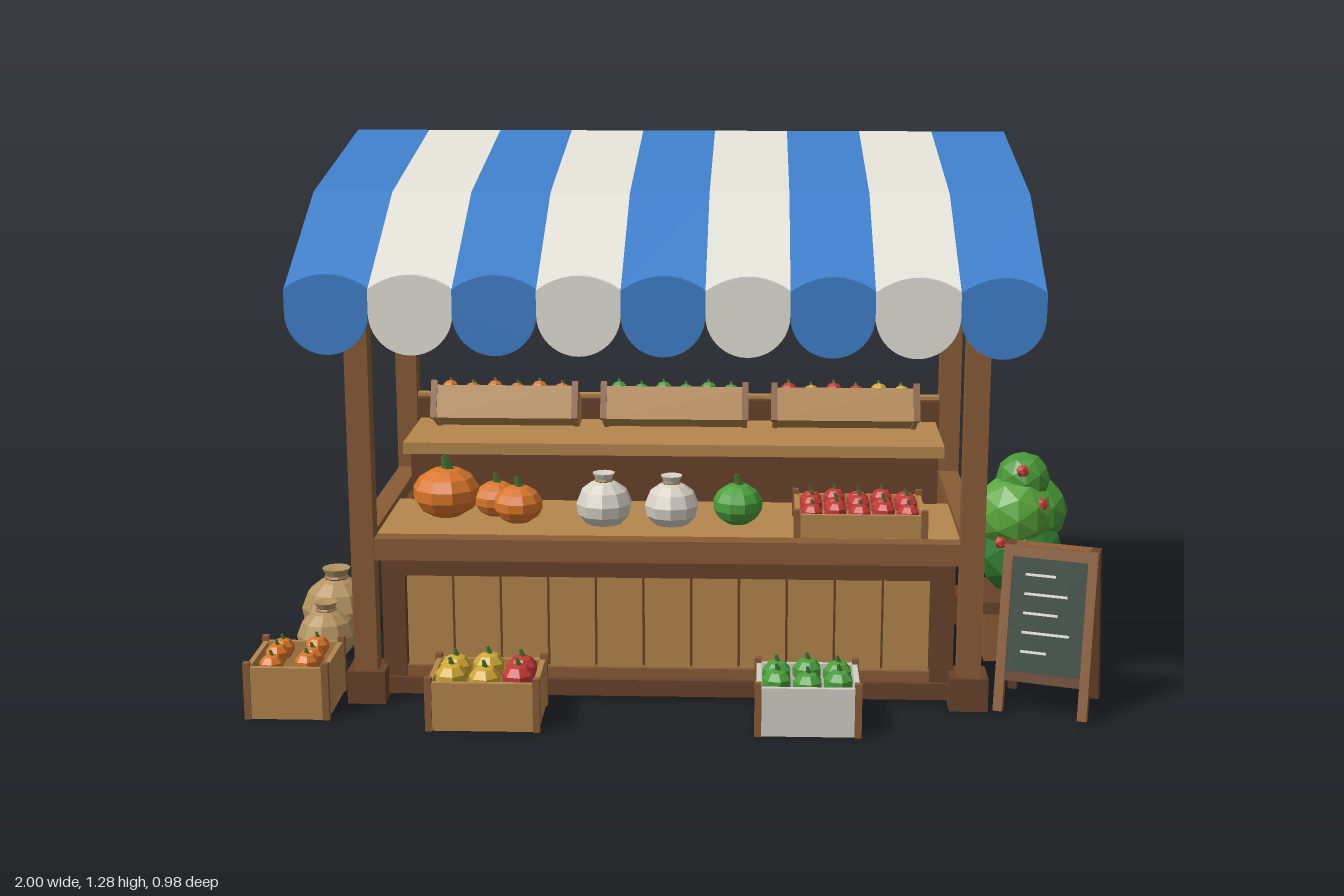
import * as THREE from 'three';

const CX = -0.024; // middle of the stall
const mats = {};
const mat = (c) => (mats[c] ??= new THREE.MeshStandardMaterial({ color: c, flatShading: true }));
const WOOD = 0x8a5c36, DARK = 0x68422a, TAN = 0xb5874d, BLUE = 0x4080cc, WHITE = 0xe4e2d9;
const RED = 0xc23a36, YELLOW = 0xd0a832, ORANGE = 0xd9762a, GREEN = 0x4b9f3c, STEM = 0x3f6b2c;

function add(parent, name, geo, color, x = 0, y = 0, z = 0) {
  const m = new THREE.Mesh(geo, mat(color));
  m.name = name;
  m.position.set(x, y, z);
  parent.add(m);
  return m;
}

// Box given by its min and max on each axis
function box(parent, name, color, x0, x1, y0, y1, z0, z1) {
  return add(parent, name, new THREE.BoxGeometry(x1 - x0, y1 - y0, z1 - z0), color,
    (x0 + x1) / 2, (y0 + y1) / 2, (z0 + z1) / 2);
}

// Square beam between two points
function beam(parent, name, color, a, b, t) {
  const A = new THREE.Vector3(...a), B = new THREE.Vector3(...b);
  const m = add(parent, name, new THREE.BoxGeometry(t, t, A.distanceTo(B)), color);
  m.position.copy(A).add(B).multiplyScalar(0.5);
  m.lookAt(B);
  return m;
}

function group(parent, name, x = 0, y = 0, z = 0) {
  const g = new THREE.Group();
  g.name = name;
  g.position.set(x, y, z);
  parent.add(g);
  return g;
}

// Round fruit with a short stalk
function fruit(parent, name, color, r, x, y, z, squash = 0.9) {
  const g = group(parent, name, x, y, z);
  add(g, 'flesh', new THREE.SphereGeometry(r, r > 0.05 ? 10 : 7, r > 0.05 ? 7 : 5), color).scale.y = squash;
  const s = add(g, 'stalk', new THREE.CylinderGeometry(r * 0.1, r * 0.2, r * 0.45, 5), STEM, 0, r * (squash + 0.12), 0);
  s.rotation.z = 0.25;
  return g;
}

// Open crate with corner posts, filled with rows of fruit
function crate(parent, name, w, h, d, color, colors, cols, rows, x, y, z) {
  const g = group(parent, name, x, y, z), t = 0.012;
  box(g, 'crateFloor', color, -w / 2, w / 2, 0.004, 0.004 + t, -d / 2, d / 2);
  for (const s of [-1, 1]) {
    add(g, 'crateSide', new THREE.BoxGeometry(t, h, d), color, s * (w / 2 - t / 2), h / 2, 0);
    add(g, 'crateFront', new THREE.BoxGeometry(w, h, t), color, 0, h / 2, s * (d / 2 - t / 2));
    for (const e of [-1, 1])
      add(g, 'cornerPost', new THREE.BoxGeometry(0.016, h + 0.012, 0.016), WOOD, s * (w / 2 - 0.004), h / 2 + 0.006, e * (d / 2 - 0.004));
  }
  const px = (w - 2 * t) / cols, pz = (d - 2 * t) / rows, r = Math.min(px, pz) * 0.5;
  for (let i = 0; i < cols; i++)
    for (let j = 0; j < rows; j++)
      fruit(g, 'fruit', colors[(i * 2 + j * 3 + ((i * j) % 2)) % colors.length], r,
        (i - (cols - 1) / 2) * px, h - r * 0.25 + ((i + j) % 2) * 0.006, (j - (rows - 1) / 2) * pz);
  return g;
}

// Tied sack: bulging body, pinched neck, flared top
function sack(parent, color, r, h, x, y, z) {
  const p = [[0, 0], [0.6, 0], [0.93, 0.2], [1, 0.42], [0.82, 0.66], [0.48, 0.8], [0.26, 0.86], [0.4, 1], [0, 0.97]];
  const geo = new THREE.LatheGeometry(p.map(([a, b]) => new THREE.Vector2(a * r, b * h)), 10);
  const g = group(parent, 'sack', x, y, z);
  add(g, 'sackBody', geo, color);
  const tie = add(g, 'sackTie', new THREE.TorusGeometry(r * 0.3, r * 0.06, 4, 10), 0x8d6f48, 0, h * 0.86, 0);
  tie.rotation.x = Math.PI / 2;
}

function buildFrame(root) {
  const g = group(root, 'frame', CX);
  for (const s of [-1, 1]) {
    const x = s * 0.708;
    for (const [z, top, foot] of [[0.278, 0.99, 0.266], [-0.375, 1.2, -0.375]]) {
      box(g, 'post', WOOD, x - 0.027, x + 0.027, 0, top, z - 0.027, z + 0.027);
      box(g, 'postFoot', DARK, x - 0.045, x + 0.045, 0, 0.08, foot - 0.047, foot + 0.047);
    }
    beam(g, 'rafter', WOOD, [x, 0.975, 0.335], [x, 1.212, -0.43], 0.035);
    beam(g, 'brace', WOOD, [x, 0.98, 0.27], [s * 0.585, 0.87, 0.27], 0.028);
    box(g, 'sideRail', WOOD, x - 0.025, x + 0.025, 0.378, 0.413, -0.35, 0.25);
  }
  box(g, 'frontBeam', WOOD, -0.73, 0.73, 0.975, 1.015, 0.26, 0.3);
  box(g, 'backBeam', WOOD, -0.73, 0.73, 1.18, 1.222, -0.395, -0.355);
}

function buildAwning(root) {
  const g = group(root, 'awning', CX), n = 9, w = 1.678 / n, t = 0.016;
  const top = [[0.42, 1.01], [0.075, 1.185], [-0.49, 1.283]];
  const section = new THREE.Shape([...top, ...top.map(([z, y]) => [z, y - t]).reverse()].map((p) => new THREE.Vector2(...p)));
  const stripe = new THREE.ExtrudeGeometry(section, { depth: w, bevelEnabled: false });
  stripe.rotateY(-Math.PI / 2).translate(w / 2, 0, 0);
  // Scallop: rounded bottom, gently arched top
  const s = new THREE.Shape();
  s.moveTo(-w / 2, 1.01);
  s.lineTo(-w / 2, 0.952);
  s.absarc(0, 0.955, w / 2, Math.PI, Math.PI * 2, false);
  s.lineTo(w / 2, 1.01);
  s.quadraticCurveTo(0, 1.075, -w / 2, 1.01);
  const scallop = new THREE.ExtrudeGeometry(s, { depth: 0.016, bevelEnabled: false, curveSegments: 10 });
  for (let i = 0; i < n; i++) {
    const x = (i - (n - 1) / 2) * w, c = i % 2 ? WHITE : BLUE;
    add(g, 'awningStripe', stripe, c, x);
    add(g, 'awningScallop', scallop, c, x, 0, 0.41);
  }
}

function buildCounter(root) {
  const g = group(root, 'counter', CX);
  box(g, 'counterTop', TAN, -0.69, 0.69, 0.372, 0.4, -0.07, 0.26);
  box(g, 'frontRail', WOOD, -0.705, 0.705, 0.35, 0.402, 0.255, 0.3);
  box(g, 'upperRail', DARK, -0.67, 0.67, 0.3, 0.352, 0.215, 0.255);
  box(g, 'lowerRail', DARK, -0.67, 0.67, 0.01, 0.05, 0.215, 0.265);
  box(g, 'kickRail', WOOD, -0.63, 0.63, 0.05, 0.075, 0.215, 0.25);
  const n = 11, w = 1.24 / n;
  box(g, 'plankBacking', DARK, -0.62, 0.62, 0.05, 0.3, 0.222, 0.228);
  for (let i = 0; i < n; i++) {
    const x = -0.62 + i * w;
    box(g, 'frontPlank', TAN, x + 0.003, x + w - 0.003, 0.05, 0.305, 0.215, 0.24);
  }
  for (const s of [-1, 1]) {
    add(g, 'frontStile', new THREE.BoxGeometry(0.055, 0.34, 0.04), DARK, s * 0.647, 0.18, 0.235);
    add(g, 'sidePanel', new THREE.BoxGeometry(0.025, 0.32, 0.19), TAN, s * 0.655, 0.2, 0.13);
    add(g, 'rearLeg', new THREE.BoxGeometry(0.05, 0.375, 0.05), DARK, s * 0.65, 0.1875, 0.02);
  }
}

function buildShelf(root) {
  const g = group(root, 'backShelf', CX);
  box(g, 'shelfBody', DARK, -0.652, 0.652, 0.015, 0.522, -0.34, -0.068);
  box(g, 'shelfTop', TAN, -0.67, 0.67, 0.518, 0.547, -0.352, -0.058);
  // Stacked boards closing the back
  const h = 0.137;
  for (let i = 0; i < 4; i++)
    box(g, 'backBoard', TAN, -0.68, 0.68, 0.067 + i * h, 0.067 + (i + 1) * h - 0.006, -0.385, -0.36);
  box(g, 'backBoardFrame', DARK, -0.68, 0.68, 0.03, 0.6, -0.362, -0.338);
  const fills = [[ORANGE], [GREEN], [YELLOW, RED, YELLOW, RED, RED]];
  fills.forEach((f, i) => {
    const c = crate(g, 'tiltedCrate', 0.365, 0.085, 0.2, TAN, f, 6, 4, (i - 1) * 0.43, 0.548, -0.247);
    c.rotation.x = -0.42;
  });
}

function buildGoods(root) {
  const g = group(root, 'goods');
  fruit(g, 'pumpkin', ORANGE, 0.083, -0.565, 0.46, 0.085, 0.75);
  fruit(g, 'smallPumpkin', ORANGE, 0.056, -0.445, 0.443, 0.08, 0.78);
  fruit(g, 'smallPumpkin', ORANGE, 0.06, -0.385, 0.446, 0.14, 0.78);
  sack(g, 0xd6d1c6, 0.068, 0.125, -0.18, 0.398, 0.13);
  sack(g, 0xd6d1c6, 0.066, 0.12, -0.018, 0.398, 0.13);
  fruit(g, 'cabbage', GREEN, 0.06, 0.14, 0.449, 0.13, 0.85);
  crate(g, 'counterCrate', 0.305, 0.055, 0.2, TAN, [RED], 5, 3, 0.428, 0.4, 0.147);
  crate(g, 'mixedCrate', 0.19, 0.125, 0.2, TAN, [ORANGE, RED, ORANGE], 2, 3, -0.897, 0, 0.32);
  crate(g, 'appleCrate', 0.255, 0.115, 0.18, TAN, [YELLOW, RED, YELLOW], 3, 2, -0.435, 0, 0.388);
  crate(g, 'whiteCrate', 0.235, 0.115, 0.18, 0xd2cfc4, [GREEN], 3, 2, 0.305, 0, 0.395);
  sack(g, 0xb3935f, 0.092, 0.175, -0.905, 0, -0.21);
  sack(g, 0xb3935f, 0.075, 0.142, -0.895, 0, -0.025);
}

function buildPlant(root) {
  const g = group(root, 'pottedBush', 0.852, 0, -0.145);
  box(g, 'planter', WOOD, -0.095, 0.095, 0, 0.125, -0.1, 0.1);
  box(g, 'planterRim', DARK, -0.103, 0.103, 0.125, 0.155, -0.108, 0.108);
  const leaves = [[0.11, 0x2f7a30, 0, 0.255, 0], [0.098, 0x5aa63c, -0.022, 0.365, 0.015],
    [0.088, 0x4a9838, 0.03, 0.36, -0.025], [0.068, 0x479636, 0, 0.448, 0]];
  for (const [r, c, x, y, z] of leaves) add(g, 'foliage', new THREE.IcosahedronGeometry(r, 1), c, x, y, z);
  const berries = [[-0.01, 0.483, 0.065], [-0.06, 0.305, 0.085], [0.04, 0.4, 0.07], [-0.108, 0.24, 0.02], [0.08, 0.2, -0.07], [0.03, 0.47, -0.06]];
  for (const [x, y, z] of berries) add(g, 'berry', new THREE.IcosahedronGeometry(0.017, 0), RED, x, y, z);
}

function buildBoard(root) {
  const g = group(root, 'chalkboardStand', 0.872, 0, 0.268);
  g.rotation.y = -0.32;
  // Two leaning frames hinged at the top
  for (const s of [1, -1]) {
    const f = group(g, 'leaningFrame', 0, 0.39, s * 0.012);
    f.rotation.x = -s * 0.19;
    for (const e of [-1, 1]) add(f, 'leg', new THREE.BoxGeometry(0.022, 0.39, 0.022), s > 0 ? WOOD : DARK, e * 0.098, -0.195, 0);
    add(f, 'topBar', new THREE.BoxGeometry(0.21, 0.025, 0.024), WOOD, 0, -0.013, 0);
    add(f, 'lowBar', new THREE.BoxGeometry(0.19, 0.022, 0.02), DARK, 0, s > 0 ? -0.305 : -0.33, 0);
    if (s < 0) continue;
    add(f, 'slate', new THREE.BoxGeometry(0.18, 0.28, 0.012), 0x36463f, 0, -0.16, 0);
    [0.07, 0.1, 0.08, 0.11, 0.06].forEach((w, i) =>
      add(f, 'chalkStroke', new THREE.BoxGeometry(w, 0.006, 0.003), WHITE, w / 2 - 0.055, -0.065 - i * 0.045, 0.007));
  }
}

export function createModel() {
  const root = new THREE.Group();
  root.name = 'marketStall';
  for (const build of [buildFrame, buildAwning, buildCounter, buildShelf, buildGoods, buildPlant, buildBoard]) build(root);
  return root;
}
